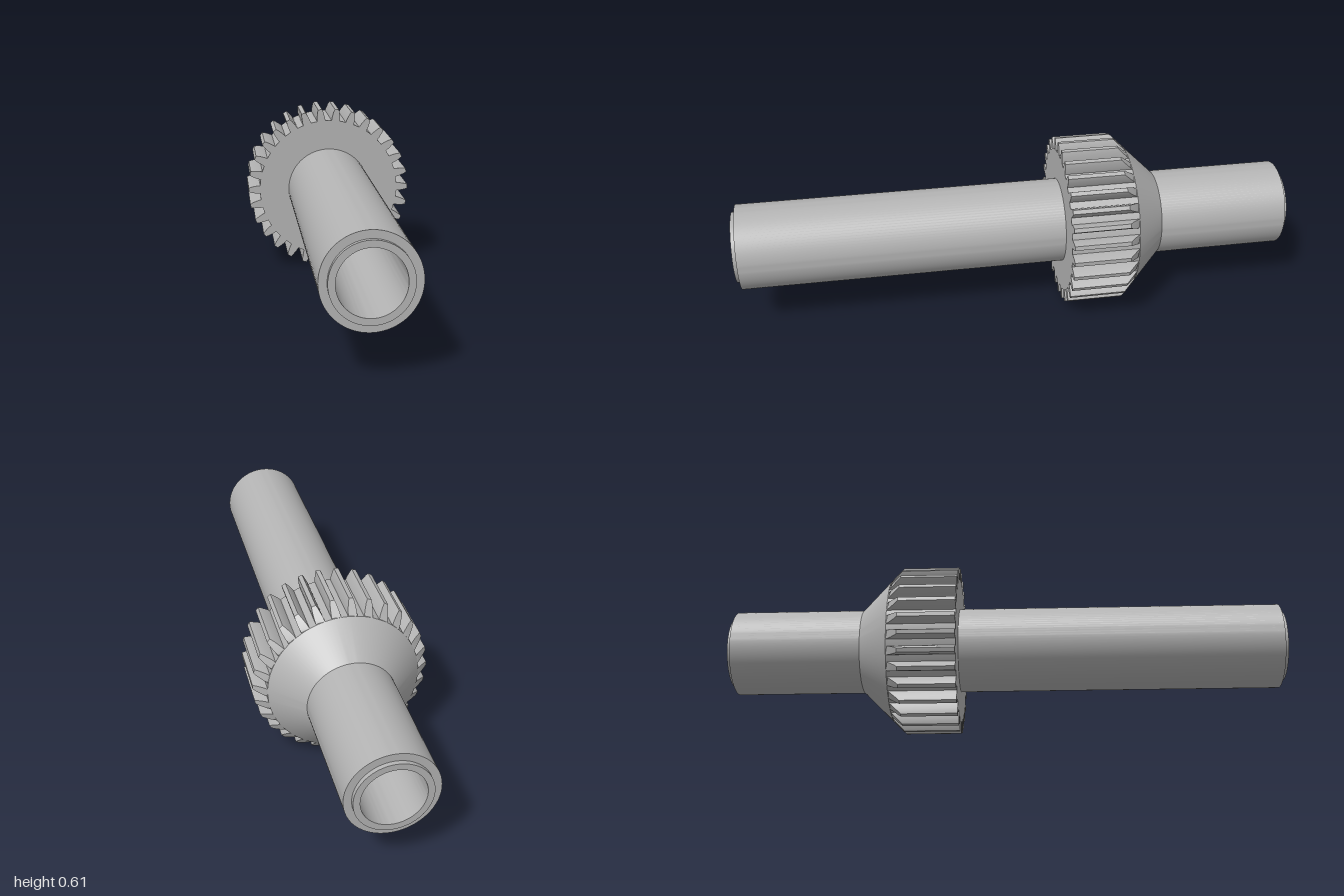
import * as THREE from 'three';
import { toCreasedNormals } from 'three/addons/utils/BufferGeometryUtils.js';

const TIP = 0.304, ROOT = 0.261, SHAFT = 0.152, BORE = 0.104, STEP = 0.126;
const GEAR_FRONT = -0.168, GEAR_BACK = -0.368, TEETH = 30;

// z of the 45 degree cone behind the gear at a given radius
const coneZ = (r) => GEAR_BACK - (TIP - r);

// Revolve [radius, z] pairs about the z axis
function turned(profile) {
  const g = new THREE.LatheGeometry(profile.map(([r, z]) => new THREE.Vector2(r, z)), 96);
  g.rotateX(Math.PI / 2);
  return toCreasedNormals(g, 0.5);
}

// One tooth pointing along +x, its back end cut to the cone
function toothGeometry() {
  const side = [[0.255, 0.0155], [ROOT, 0.0155], [0.272, 0.0148], [0.283, 0.013], [0.294, 0.0108], [0.301, 0.0085], [TIP, 0.0075]];
  const outline = [
    ...side.map(([x, y]) => new THREE.Vector2(x, -y)),
    ...side.map(([x, y]) => new THREE.Vector2(x, y)).reverse(),
  ];
  const g = new THREE.ExtrudeGeometry(new THREE.Shape(outline), { depth: 1, bevelEnabled: false });
  const p = g.attributes.position;
  for (let i = 0; i < p.count; i++) {
    const r = Math.max(p.getX(i), ROOT);
    p.setZ(i, p.getZ(i) > 0.5 ? GEAR_FRONT : coneZ(r));
    // keep the buried foot just inside the cone
    if (p.getX(i) < ROOT && p.getZ(i) < GEAR_FRONT) p.setZ(i, coneZ(ROOT) + 0.002);
  }
  return toCreasedNormals(g, 0.5);
}

export function createModel() {
  const model = new THREE.Group();
  model.name = 'gearShaft';
  const steel = new THREE.MeshStandardMaterial({ color: 0xb4b4b4 });
  steel.name = 'grey steel';

  // Hollow shaft with a small stepped lip at each end
  const shaft = new THREE.Mesh(turned([
    [BORE, -1], [STEP, -1], [STEP, -0.985], [SHAFT, -0.985],
    [SHAFT, 0.985], [STEP, 0.985], [STEP, 1], [BORE, 1], [BORE, -1],
  ]), steel);
  shaft.name = 'hollowShaft';

  // Gear hub with the cone at its back
  const hub = new THREE.Mesh(turned([
    [SHAFT, coneZ(SHAFT)], [ROOT, coneZ(ROOT)], [ROOT, GEAR_FRONT], [SHAFT - 0.005, GEAR_FRONT],
  ]), steel);
  hub.name = 'gearHub';

  // Ring of teeth
  const teeth = new THREE.Group();
  teeth.name = 'gearTeeth';
  const geometry = toothGeometry();
  for (let i = 0; i < TEETH; i++) {
    const tooth = new THREE.Mesh(geometry, steel);
    tooth.name = 'tooth';
    tooth.rotation.z = (i / TEETH) * Math.PI * 2;
    teeth.add(tooth);
  }

  model.add(shaft, hub, teeth);
  for (const part of model.children) part.position.y = TIP;
  return model;
}
